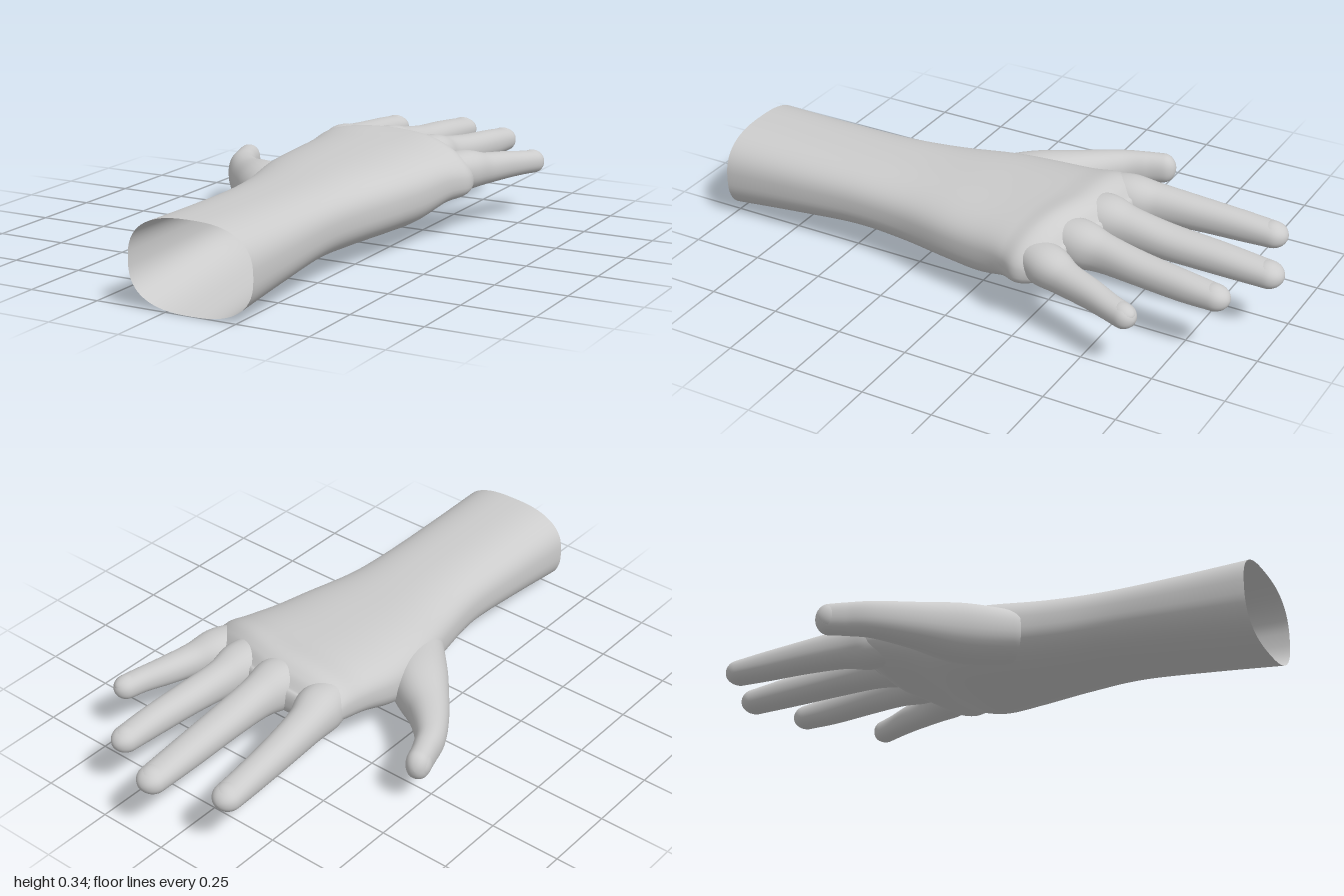
import * as THREE from 'three';

const UP = new THREE.Vector3(0, 1, 0);
const skin = new THREE.MeshStandardMaterial({ color: 0xcccccc, side: THREE.DoubleSide });

// Smooth tube through stations [x, y, z, halfWidth, halfHeight], rounded off at its far end.
function limb(name, stations, { tip, power = 2.2, dir = null, sides = 32, steps = 48, bend = null }) {
  const curve = (pts) => new THREE.CatmullRomCurve3(pts, false, 'catmullrom', 0.5);
  const spine = curve(stations.map((s) => new THREE.Vector3(s[0], s[1], s[2])));
  const size = curve(stations.map((s) => new THREE.Vector3(s[3], s[4], 0)));
  const positions = [], index = [], capSteps = 10;
  const rounded = (v) => Math.sign(v) * Math.pow(Math.abs(v), 2 / power);
  let end;
  for (let i = 0; i <= steps + capSteps; i++) {
    const t = Math.min(i / steps, 1);
    const c = spine.getPoint(t), s = size.getPoint(t);
    const d = dir ? dir.clone() : spine.getTangent(t);
    const right = d.clone().cross(UP).normalize();
    const up = right.clone().cross(d).normalize();
    if (i === steps) end = { c: c.clone(), d, right, up, w: s.x, h: s.y };
    if (i > steps) {
      const a = ((i - steps) / capSteps) * Math.PI / 2;
      c.addScaledVector(d, Math.sin(a) * tip);
      s.multiplyScalar(Math.max(Math.cos(a), 0.002));
    }
    for (let j = 0; j < sides; j++) {
      const a = (j / sides) * Math.PI * 2;
      const p = c.clone()
        .addScaledVector(right, rounded(Math.cos(a)) * s.x)
        .addScaledVector(up, rounded(Math.sin(a)) * s.y);
      if (bend) bend(p);
      positions.push(p.x, p.y, p.z);
      if (i > 0) {
        const k = (j + 1) % sides, a0 = (i - 1) * sides, b0 = i * sides;
        index.push(a0 + j, b0 + j, a0 + k, a0 + k, b0 + j, b0 + k);
      }
    }
  }
  const geo = new THREE.BufferGeometry();
  geo.setAttribute('position', new THREE.Float32BufferAttribute(positions, 3));
  geo.setIndex(index);
  geo.computeVertexNormals();
  const mesh = new THREE.Mesh(geo, skin);
  mesh.name = name;
  return { mesh, end };
}

// Thin curved nail lying on the last stretch of a finger, facing along "out".
function nail(name, end, out, halfWidth, halfHeight, length) {
  const mesh = new THREE.Mesh(new THREE.SphereGeometry(1, 24, 16), skin);
  const side = out.clone().cross(end.d);
  mesh.quaternion.setFromRotationMatrix(new THREE.Matrix4().makeBasis(side, out, end.d));
  mesh.scale.set(halfWidth * 0.86, halfHeight * 0.75, length);
  mesh.position.copy(end.c).addScaledVector(out, halfHeight * 0.31).addScaledVector(end.d, -0.004);
  mesh.name = name;
  return mesh;
}

// Knuckle line slants back and drops toward the little finger.
function knuckleSlant(p) {
  const k = THREE.MathUtils.smoothstep(-p.z, 0.05, 0.35);
  p.y -= k * 0.75 * Math.max(0, p.x - 0.2) ** 2;
  p.z += k * 0.27 * Math.max(0, p.x - 0.1);
}

export function createModel() {
  const group = new THREE.Group();
  group.name = 'hand';

  // Hollow forearm widening into the palm
  group.add(limb('forearmAndPalm', [
    [0.09, 0.155, 1, 0.222, 0.15],
    [0.09, 0.167, 0.75, 0.215, 0.134],
    [0.088, 0.178, 0.5, 0.213, 0.122],
    [0.08, 0.178, 0.3, 0.235, 0.125],
    [0.077, 0.183, 0.1, 0.28, 0.131],
    [0.085, 0.19, -0.05, 0.3, 0.132],
    [0.107, 0.22, -0.2, 0.308, 0.113],
    [0.12, 0.24, -0.3, 0.32, 0.105],
    [0.12, 0.24, -0.355, 0.314, 0.085],
    [0.12, 0.235, -0.39, 0.295, 0.05],
  ], { tip: 0.02, power: 2.6, dir: new THREE.Vector3(0, 0, -1), sides: 72, steps: 90, bend: knuckleSlant }).mesh);

  // Four fingers, flared at the root so that neighbours meet in a web
  const fingers = {
    index: [
      [-0.11, 0.235, -0.24, 0.06, 0.07], [-0.12, 0.238, -0.36, 0.08, 0.083],
      [-0.14, 0.235, -0.46, 0.064, 0.068], [-0.155, 0.228, -0.6, 0.056, 0.058],
      [-0.165, 0.22, -0.75, 0.051, 0.051], [-0.17, 0.215, -0.86, 0.05, 0.043]],
    middle: [
      [0.065, 0.245, -0.24, 0.08, 0.07], [0.065, 0.25, -0.36, 0.086, 0.086],
      [0.07, 0.245, -0.46, 0.067, 0.07], [0.072, 0.235, -0.6, 0.062, 0.058],
      [0.07, 0.225, -0.78, 0.057, 0.052], [0.07, 0.215, -0.947, 0.052, 0.043]],
    ring: [
      [0.222, 0.24, -0.22, 0.07, 0.07], [0.232, 0.242, -0.35, 0.079, 0.08],
      [0.24, 0.235, -0.45, 0.06, 0.065], [0.257, 0.228, -0.58, 0.055, 0.055],
      [0.272, 0.22, -0.74, 0.05, 0.05], [0.278, 0.215, -0.853, 0.047, 0.042]],
    little: [
      [0.335, 0.22, -0.2, 0.06, 0.06], [0.375, 0.222, -0.31, 0.073, 0.068],
      [0.408, 0.213, -0.4, 0.055, 0.055], [0.44, 0.208, -0.5, 0.047, 0.048],
      [0.47, 0.203, -0.58, 0.042, 0.042], [0.489, 0.198, -0.64, 0.041, 0.04]],
  };
  for (const [name, stations] of Object.entries(fingers)) {
    const { mesh, end } = limb(name + 'Finger', stations, { tip: name === 'little' ? 0.045 : 0.053 });
    group.add(mesh, nail(name + 'Nail', end, end.up, end.w, end.h, 0.046));
  }

  // Thumb with a broad root, its nail turned outward
  const { mesh, end } = limb('thumb', [
    [-0.1, 0.16, 0.17, 0.1, 0.09],
    [-0.22, 0.155, 0.04, 0.1, 0.1],
    [-0.345, 0.155, -0.07, 0.07, 0.078],
    [-0.43, 0.16, -0.17, 0.052, 0.063],
    [-0.468, 0.163, -0.25, 0.043, 0.057],
    [-0.49, 0.165, -0.31, 0.041, 0.053],
  ], { tip: 0.045 });
  group.add(mesh, nail('thumbNail', end, end.right.clone().negate(), end.h, end.w, 0.042));

  return group;
}
